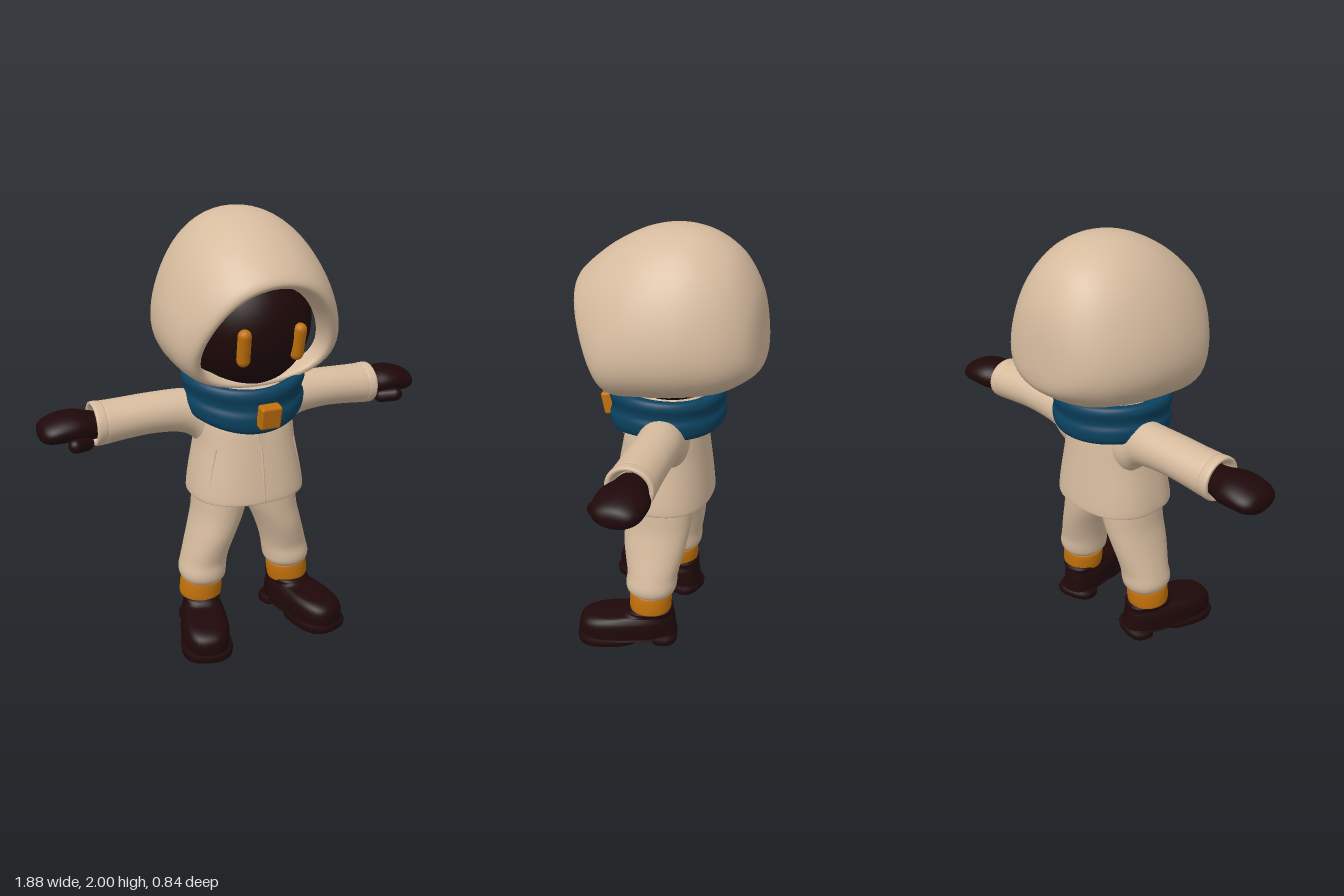
import * as THREE from 'three';
import { RoundedBoxGeometry } from 'three/addons/geometries/RoundedBoxGeometry.js';

const mat = (name, color) => Object.assign(new THREE.MeshStandardMaterial({ color }), { name });

// Smoothly interpolated rings: at(row, angle) gives a point [x, y, z]
function loft(rows, at, seg = 40, steps = 4) {
  const pos = [], idx = [], n = (rows.length - 1) * steps;
  for (let i = 0; i <= n; i++) {
    const k = Math.min(Math.floor(i / steps), rows.length - 2), t = i / steps - k;
    const R = (j) => rows[Math.max(0, Math.min(rows.length - 1, j))];
    const row = rows[0].map((_, c) => {
      const [a, b, d, e] = [R(k - 1)[c], R(k)[c], R(k + 1)[c], R(k + 2)[c]];
      const m0 = (d - a) / 2, m1 = (e - b) / 2, t2 = t * t, t3 = t2 * t;
      return (2 * t3 - 3 * t2 + 1) * b + (t3 - 2 * t2 + t) * m0 + (3 * t2 - 2 * t3) * d + (t3 - t2) * m1;
    });
    for (let j = 0; j < seg; j++) pos.push(...at(row, (j / seg) * Math.PI * 2));
  }
  for (let i = 0; i < n; i++) {
    for (let j = 0; j < seg; j++) {
      const a = i * seg + j, b = i * seg + (j + 1) % seg;
      idx.push(a, a + seg, b, b, a + seg, b + seg);
    }
  }
  const g = new THREE.BufferGeometry();
  g.setAttribute('position', new THREE.Float32BufferAttribute(pos, 3));
  g.setIndex(idx);
  g.computeVertexNormals();
  return g;
}

const pw = (v, n) => Math.sign(v) * Math.abs(v) ** (2 / n);
// Upright sections [y, cx, cz, rx, rz] with superellipse exponent n
const upright = (n = 2) => ([y, cx, cz, rx, rz], a) => [cx + rx * pw(Math.cos(a), n), y, cz + rz * pw(Math.sin(a), n)];
// Sections along x [x, cy, cz, ry, rz]
const sideways = ([x, cy, cz, ry, rz], a) => [x, cy + ry * Math.sin(a), cz + rz * Math.cos(a)];

function mirror(geo) {
  const g = geo.clone().scale(-1, 1, 1), ix = g.index.array;
  for (let i = 0; i < ix.length; i += 3) [ix[i], ix[i + 1]] = [ix[i + 1], ix[i]];
  return g;
}

const tube = (pts, r) => new THREE.TubeGeometry(
  new THREE.CatmullRomCurve3(pts.map((p) => new THREE.Vector3(...p))), 16, r, 6);

export function createModel() {
  const cloth = mat('beige cloth', 0xd6bb9e), dark = mat('dark brown', 0x1f0809);
  const blue = mat('blue scarf cloth', 0x0b4260), orange = mat('orange', 0xc0700b);
  const model = new THREE.Group();
  model.name = 'hoodedFigure';
  const add = (name, geo, material) => {
    const m = new THREE.Mesh(geo, material);
    m.name = name;
    model.add(m);
  };
  const pair = (name, geo, material) => {
    add(name + 'Left', geo, material);
    add(name + 'Right', mirror(geo), material);
  };

  // Hood: tilted sections [top z, top y, bottom z, bottom y, half width], back to rim, then lining
  const hoodRows = [
    [-0.42, 1.5, -0.42, 1.48, 0], [-0.405, 1.66, -0.41, 1.4, 0.135], [-0.37, 1.78, -0.36, 1.35, 0.235],
    [-0.29, 1.9, -0.26, 1.295, 0.32], [-0.17, 1.975, -0.12, 1.265, 0.38], [-0.04, 2, 0, 1.25, 0.403],
    [0.1, 1.98, 0.08, 1.245, 0.405], [0.24, 1.915, 0.15, 1.24, 0.392], [0.35, 1.835, 0.185, 1.24, 0.368],
    [0.418, 1.765, 0.2, 1.245, 0.335], [0.405, 1.725, 0.19, 1.265, 0.3], [0.28, 1.71, 0.12, 1.28, 0.29],
  ];
  add('hood', loft(hoodRows, ([tz, ty, bz, by, w], a) => {
    const s = Math.sin(a), c = Math.cos(a);
    return [-w * c * (0.955 - 0.25 * s + 0.16 * s * s), (ty + by) / 2 + (ty - by) / 2 * s, (tz + bz) / 2 + (tz - bz) / 2 * s];
  }, 56, 5), cloth);

  // Face and eyes
  add('face', new THREE.SphereGeometry(1, 40, 28).scale(0.305, 0.32, 0.34).translate(0, 1.525, 0.015), dark);
  pair('eye', new THREE.CapsuleGeometry(0.03, 0.112, 6, 16)
    .rotateX(0.2).rotateY(0.15).translate(0.128, 1.466, 0.322), orange);

  // Scarf: two soft rolls [y, scale], sagging at the front
  const scarfRows = [
    [1.17, 0.55], [1.115, 0.76], [1.093, 0.88], [1.115, 0.965], [1.16, 0.99], [1.19, 0.955], [1.215, 0.965],
    [1.25, 1], [1.277, 0.96], [1.277, 0.86], [1.26, 0.75], [1.2, 0.6],
  ];
  add('scarf', loft(scarfRows, ([y, r], a) => {
    const f = Math.max(0, Math.sin(a)), sag = 0.045 - 0.14 * Math.max(0, y - 1.1);
    return [0.287 * r * Math.cos(a), y - sag * f * f + 0.007 * Math.sin(2 * a + 0.6), 0.025 + 0.272 * r * Math.sin(a)];
  }, 56), blue);
  add('scarfClasp', new RoundedBoxGeometry(0.1, 0.108, 0.055, 3, 0.012).rotateX(0.2).translate(0, 1.138, 0.31), orange);

  // Jacket body with a turned-in hem
  add('jacket', loft([
    [0.76, 0, 0.04, 0.2, 0.17], [0.712, 0, 0.043, 0.25, 0.21], [0.7, 0, 0.043, 0.268, 0.228],
    [0.715, 0, 0.043, 0.275, 0.232], [0.8, 0, 0.04, 0.264, 0.222], [0.95, 0, 0.035, 0.236, 0.2],
    [1.05, 0, 0.03, 0.228, 0.183], [1.13, 0, 0.02, 0.215, 0.158], [1.19, 0, 0.01, 0.17, 0.125], [1.23, 0, 0.01, 0, 0],
  ], upright(2.4), 56), cloth);
  add('zipSeam', tube([[0, 0.705, 0.272], [0, 0.8, 0.262], [0, 0.95, 0.235], [0, 1.08, 0.205]], 0.006), cloth);
  add('zipPull', new THREE.BoxGeometry(0.034, 0.07, 0.012).rotateX(-0.12).translate(0, 1.015, 0.238), cloth);
  add('zipLink', new THREE.BoxGeometry(0.014, 0.04, 0.012).translate(0, 1.065, 0.228), cloth);
  pair('pocketSeam', tube([[0.193, 0.96, 0.167], [0.214, 0.86, 0.17], [0.233, 0.76, 0.173]], 0.004), cloth);

  // Sleeves, easing into the body and hollow at the cuff
  pair('sleeve', loft([
    [0.08, 1.06, -0.005, 0.125, 0.11], [0.16, 1.05, -0.005, 0.142, 0.118], [0.21, 1.058, -0.012, 0.133, 0.112],
    [0.25, 1.085, -0.02, 0.111, 0.105], [0.32, 1.1, -0.028, 0.098, 0.103],
    [0.45, 1.105, -0.03, 0.092, 0.103], [0.58, 1.099, -0.03, 0.094, 0.104],
    [0.65, 1.095, -0.03, 0.097, 0.106], [0.657, 1.095, -0.03, 0.095, 0.104], [0.664, 1.095, -0.03, 0.098, 0.107],
    [0.695, 1.095, -0.03, 0.099, 0.108], [0.704, 1.095, -0.03, 0.093, 0.1], [0.698, 1.095, -0.03, 0.08, 0.085],
    [0.66, 1.095, -0.03, 0.06, 0.07],
  ], sideways), cloth);

  // Mittens with a forward, downward thumb
  pair('mitten', loft([
    [0.65, 1.09, -0.03, 0.055, 0.07], [0.71, 1.09, -0.035, 0.062, 0.085], [0.77, 1.096, -0.04, 0.069, 0.108],
    [0.83, 1.098, -0.042, 0.065, 0.113], [0.89, 1.091, -0.042, 0.056, 0.106], [0.925, 1.086, -0.042, 0.042, 0.082],
    [0.939, 1.083, -0.042, 0.02, 0.045], [0.941, 1.082, -0.042, 0, 0],
  ], sideways), dark);
  pair('thumb', new THREE.CapsuleGeometry(0.033, 0.07, 6, 14).rotateZ(-1.4).rotateY(-0.6)
    .translate(0.777, 1.04, 0.055), dark);

  // Trousers
  add('trouserSeat', loft([
    [0.6, 0, 0.035, 0, 0], [0.604, 0, 0.035, 0.025, 0.06], [0.64, 0, 0.035, 0.09, 0.115],
    [0.7, 0, 0.035, 0.2, 0.155], [0.78, 0, 0.035, 0.22, 0.165],
  ], upright(2)), cloth);
  pair('trouserLeg', loft([
    [0.25, 0.222, 0.045, 0.06, 0.06], [0.25, 0.222, 0.045, 0.085, 0.09], [0.275, 0.222, 0.045, 0.106, 0.115],
    [0.31, 0.222, 0.043, 0.112, 0.123], [0.36, 0.213, 0.04, 0.109, 0.122], [0.42, 0.198, 0.04, 0.107, 0.134],
    [0.5, 0.173, 0.04, 0.109, 0.15], [0.6, 0.14, 0.036, 0.118, 0.16], [0.7, 0.122, 0.035, 0.127, 0.165],
    [0.76, 0.115, 0.035, 0.12, 0.16],
  ], upright(2.1)), cloth);

  // Ankle bands
  pair('ankleBand', loft([
    [-0.045, 0, 0, 0.07, 0.07], [-0.047, 0, 0, 0.092, 0.092], [-0.04, 0, 0, 0.099, 0.1], [0, 0, 0, 0.101, 0.102],
    [0.036, 0, 0, 0.098, 0.1], [0.044, 0, 0, 0.09, 0.092], [0.044, 0, 0, 0.05, 0.05],
  ], upright()).rotateZ(0.1).translate(0.232, 0.213, 0.045), orange);

  // Shoes point outward; sections are [y, back z, front z, half width], wider at the ball
  const shoeAt = ([y, zb, zf, w], a) => {
    const z = (zb + zf) / 2 + (zf - zb) / 2 * pw(Math.sin(a), 2.6);
    return [w * pw(Math.cos(a), 2.6) * (0.88 + 0.5 * Math.max(0, z + 0.03)), y, z];
  };
  const place = (g) => g.rotateY(0.27).translate(0.22, 0, 0.005);
  pair('shoe', place(loft([
    [0.022, 0, 0.3, 0], [0.022, -0.08, 0.386, 0.107], [0.035, -0.084, 0.392, 0.111], [0.08, -0.08, 0.393, 0.112],
    [0.113, -0.077, 0.378, 0.107], [0.134, -0.074, 0.335, 0.096], [0.143, -0.072, 0.265, 0.09],
    [0.152, -0.07, 0.175, 0.09], [0.175, -0.062, 0.145, 0.09], [0.19, 0, 0.1, 0],
  ], shoeAt)), dark);
  const soleRows = (zb, zf) => [[0, (zb + zf) / 2, (zb + zf) / 2, 0], [0, zb + 0.004, zf - 0.004, 0.108],
    [0.004, zb, zf, 0.111], [0.034, zb, zf, 0.111], [0.036, (zb + zf) / 2, (zb + zf) / 2, 0]];
  pair('shoeSole', place(loft(soleRows(0.09, 0.393), shoeAt, 40, 2)), dark);
  pair('shoeHeel', place(loft(soleRows(-0.085, 0.045), shoeAt, 40, 2)), dark);

  return model;
}
